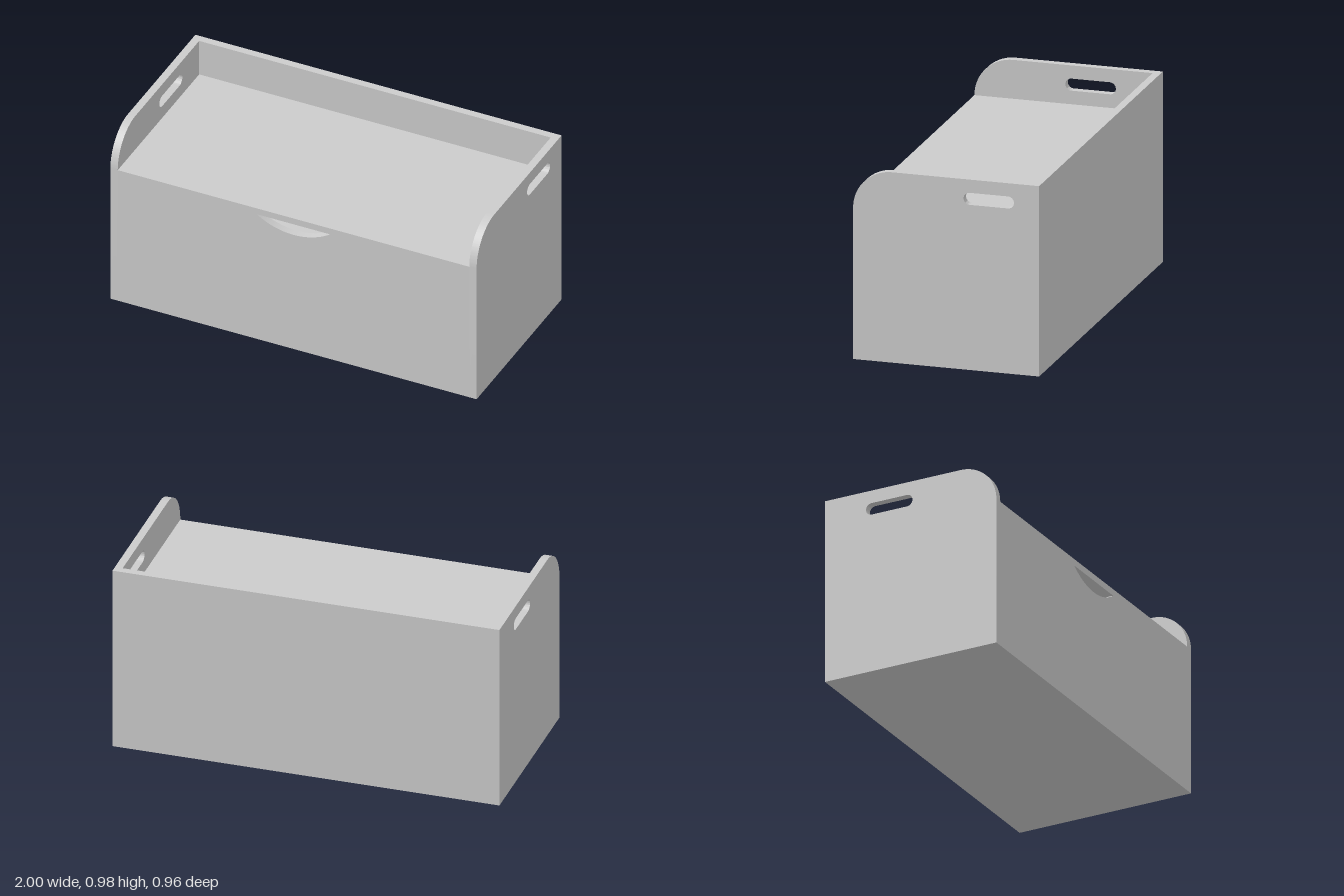
import * as THREE from 'three';
import { toCreasedNormals } from 'three/addons/utils/BufferGeometryUtils.js';

const W = 1, D = 0.48, H = 0.98;   // half width, half depth, height
const T = 0.04;                    // panel thickness
const SEAT = 0.78;                 // top of the lid
const LID = 0.035;                 // lid thickness

export function createModel() {
  const group = new THREE.Group();
  group.name = 'storageBench';
  const material = new THREE.MeshStandardMaterial({ color: 0xcccccc });

  function add(name, geometry, x = 0, y = 0, z = 0) {
    const mesh = new THREE.Mesh(geometry, material);
    mesh.name = name;
    mesh.position.set(x, y, z);
    group.add(mesh);
  }
  function extrude(shape) {
    const geometry = new THREE.ExtrudeGeometry(shape, { depth: T, bevelEnabled: false, curveSegments: 24 });
    return toCreasedNormals(geometry, 0.5);
  }

  // Side panel with rounded upper front corner and a slotted handle; shape x runs towards the back
  function sidePanel(slotFront, slotBack) {
    const r = H - SEAT;
    const shape = new THREE.Shape();
    shape.moveTo(-D, 0);
    shape.lineTo(D, 0);
    shape.lineTo(D, H);
    shape.lineTo(-D + r, H);
    shape.absarc(-D + r, H - r, r, Math.PI / 2, Math.PI, false);
    shape.lineTo(-D, 0);

    const s = 0.031, y = 0.881;
    const slot = new THREE.Path();
    slot.absarc(slotFront + s, y, s, Math.PI * 1.5, Math.PI * 0.5, true);
    slot.absarc(slotBack - s, y, s, Math.PI * 0.5, -Math.PI * 0.5, true);
    slot.closePath();
    shape.holes.push(slot);
    return extrude(shape).rotateY(Math.PI / 2);
  }
  add('leftSidePanel', sidePanel(0.09, 0.35), W - T);
  add('rightSidePanel', sidePanel(-0.01, 0.25), -W);

  // Front panel with a shallow curved finger notch under the lid
  const inner = W - T, top = SEAT - LID;
  const half = 0.2, sag = 0.063;
  const radius = (half * half + sag * sag) / (2 * sag);
  const angle = Math.asin(half / radius);
  const front = new THREE.Shape();
  front.moveTo(-inner, 0);
  front.lineTo(inner, 0);
  front.lineTo(inner, top);
  front.lineTo(half, top);
  front.absarc(0, top - sag + radius, radius, -Math.PI / 2 + angle, -Math.PI / 2 - angle, true);
  front.lineTo(-inner, top);
  front.closePath();
  add('frontPanel', extrude(front), 0, 0, D - T);

  // Back panel, floor and lid fit between the sides
  add('backPanel', new THREE.BoxGeometry(2 * inner, H, T), 0, H / 2, -D + T / 2);
  add('floor', new THREE.BoxGeometry(2 * inner, T, 2 * (D - T)), 0, T / 2, 0);
  add('lid', new THREE.BoxGeometry(2 * inner, LID, 2 * D - T), 0, SEAT - LID / 2, T / 2);

  return group;
}
